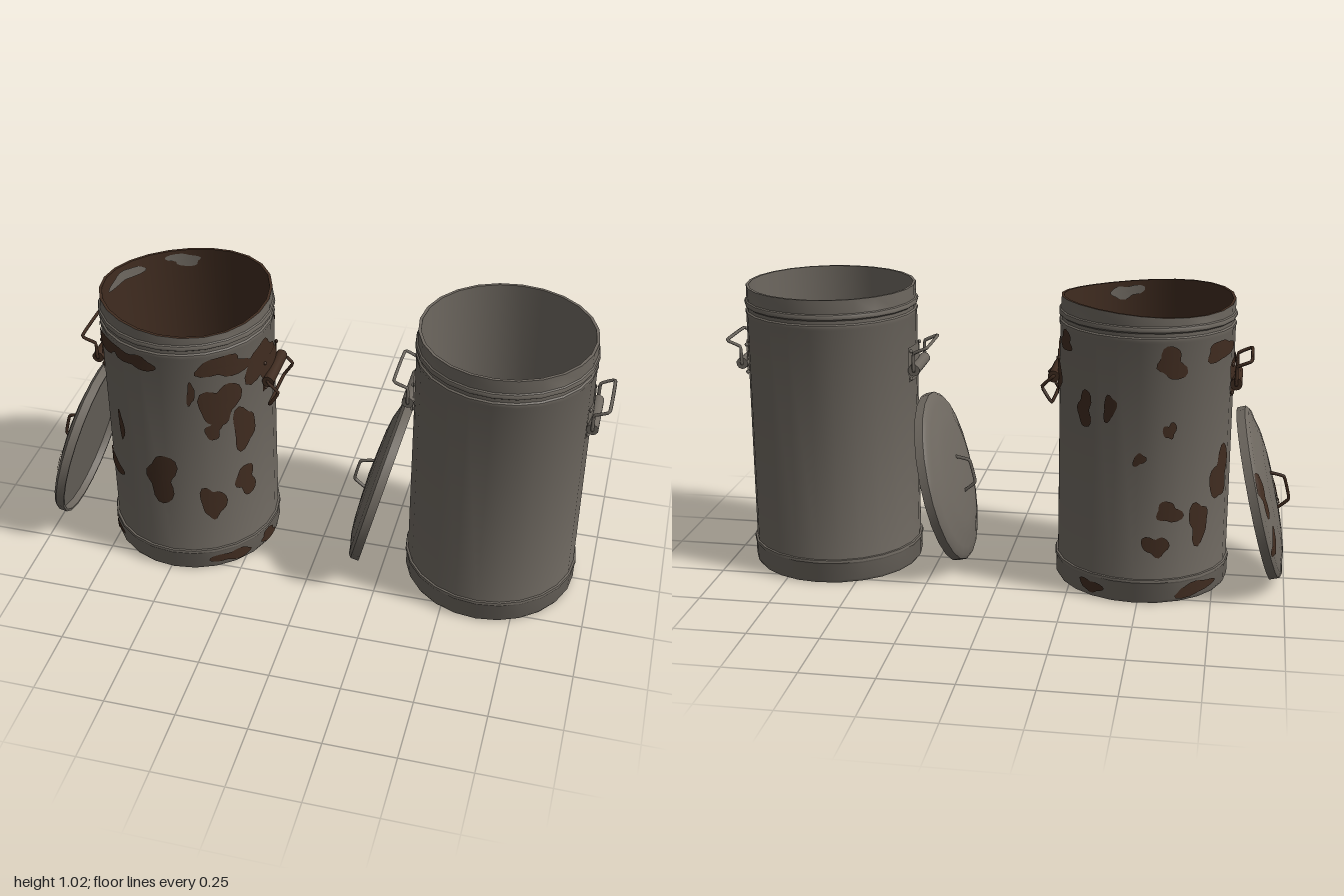
import * as THREE from 'three';
import { toCreasedNormals } from 'three/addons/utils/BufferGeometryUtils.js';

const SIDES = 24;

export function createModel() {
  const steel = new THREE.MeshStandardMaterial({ color: 0x6e6860, side: THREE.DoubleSide });
  steel.name = 'steel';
  const rust = new THREE.MeshStandardMaterial({ color: 0x402c20, side: THREE.DoubleSide });
  rust.name = 'rust';

  const add = (parent, name, geometry, material) => {
    const mesh = new THREE.Mesh(geometry, material);
    mesh.name = name;
    parent.add(mesh);
    return mesh;
  };
  const group = (parent, name) => {
    const g = new THREE.Group();
    g.name = name;
    parent.add(g);
    return g;
  };

  // Turned part with creased edges; warp may move its vertices
  const turned = (profile, warp) => {
    const geo = new THREE.LatheGeometry(profile.map(([r, y]) => new THREE.Vector2(r, y)), SIDES);
    if (warp) {
      const p = geo.attributes.position;
      const v = new THREE.Vector3();
      for (let i = 0; i < p.count; i++) {
        warp(v.fromBufferAttribute(p, i));
        p.setXYZ(i, v.x, v.y, v.z);
      }
    }
    return toCreasedNormals(geo, 0.6);
  };

  const wire = (points, radius) => {
    const curve = new THREE.CatmullRomCurve3(points.map((p) => new THREE.Vector3(...p)), false, 'catmullrom', 0.15);
    return new THREE.TubeGeometry(curve, 40, radius, 6);
  };

  // Irregular blob laid over a surface given by map(u, v)
  const blob = (map, u, v, hw, hh, seed) => {
    const rings = 5, n = 24, pos = [], index = [];
    for (let k = 0; k <= rings; k++) {
      for (let i = 0; i < n; i++) {
        const a = (i / n) * Math.PI * 2;
        const f = (k / rings) * (1 + 0.2 * Math.sin(2 * a + seed) + 0.17 * Math.sin(3 * a + seed * 2.3) + 0.08 * Math.sin(5 * a + seed));
        pos.push(...map(u + hw * f * Math.cos(a), v + hh * f * Math.sin(a)));
        if (k < rings) {
          const p = k * n + i, q = k * n + (i + 1) % n;
          if (k > 0) index.push(p, q + n, q);
          index.push(p, p + n, q + n);
        }
      }
    }
    const geo = new THREE.BufferGeometry();
    geo.setAttribute('position', new THREE.Float32BufferAttribute(pos, 3));
    geo.setIndex(index);
    geo.computeVertexNormals();
    return geo;
  };
  const onCylinder = (r) => (theta, y) => [r * Math.sin(theta), y, r * Math.cos(theta)];

  const outer = [
    [0, 0], [0.3, 0], [0.307, 0.012], [0.307, 0.07], [0.311, 0.077], [0.309, 0.086], [0.302, 0.087],
    [0.302, 0.918], [0.305, 0.925], [0.304, 0.934], [0.298, 0.938], [0.298, 0.95],
    [0.306, 0.956], [0.307, 0.964], [0.304, 0.971], [0.299, 0.974], [0.299, 1.022]];
  const inner = [[0.299, 1.022], [0.289, 1.022], [0.289, 0.03], [0, 0.03]];

  // Bent rim and slight waviness of the worn bin
  const bend = (v) => {
    const a = Math.atan2(v.x, v.z);
    if (v.y > 0.98) v.y -= 0.011 * (1 + Math.sin(2 * a + 0.3));
    const s = 1 + 0.006 * Math.sin(3 * a + 0.8) * THREE.MathUtils.smoothstep(v.y, 0.93, 1.02);
    v.x *= s;
    v.z *= s;
  };

  // Side handle on the +x wall: plate, hinge sleeve, bolts and wire loop
  const handle = (parent, name, mat, dropped) => {
    const g = group(parent, name);
    add(g, 'handlePlate', new THREE.CylinderGeometry(0.307, 0.307, 0.125, 8, 1, true, Math.PI / 2 - 0.29, 0.58), mat)
      .position.y = 0.753;
    const sleeve = add(g, 'hingeSleeve', new THREE.CylinderGeometry(0.021, 0.021, 0.18, 10), mat);
    sleeve.rotation.x = Math.PI / 2;
    sleeve.position.set(0.313, 0.735, 0);
    for (const y of [0.7, 0.8]) {
      for (const side of [-1, 1]) {
        const bolt = add(g, 'bolt', new THREE.SphereGeometry(0.007, 8, 6), mat);
        bolt.position.set(0.299, y, side * 0.072);
      }
    }
    const arm = dropped
      ? [[0.313, 0.738], [0.352, 0.7], [0.318, 0.645]]
      : [[0.313, 0.735], [0.314, 0.798], [0.362, 0.82]];
    const path = [[0.313, 0.735, -0.08], ...arm.map(([x, y]) => [x, y, -0.095]),
      ...arm.slice().reverse().map(([x, y]) => [x, y, 0.095]), [0.313, 0.735, 0.08]];
    add(g, 'wireLoop', wire(path, 0.006), mat);
    return g;
  };

  // Domed lid, dome along local +y, leaning against the bin
  const lidProfile = [
    [0, 0.025], [0.296, 0.025], [0.3, 0], [0.309, 0], [0.309, 0.03], [0.296, 0.041],
    [0.268, 0.046], [0.225, 0.058], [0.17, 0.065], [0.09, 0.069], [0, 0.072]].map(([r, y]) => [r, y]);
  const lid = (parent, handleMat) => {
    const g = group(parent, 'lid');
    g.position.set(-0.392, 0.315, 0);
    g.rotation.z = 1.325;
    add(g, 'lidShell', turned(lidProfile), steel);
    add(g, 'lidHandle', wire([[-0.068, 0.064, 0], [-0.042, 0.114, 0], [0.042, 0.114, 0], [0.068, 0.064, 0]], 0.006), handleMat);
    return g;
  };
  const onLid = (x, w) => {
    const r = Math.min(Math.hypot(x, w), 0.309);
    const k = r / (Math.hypot(x, w) || 1);
    let h = 0.072;
    for (let i = 5; i < lidProfile.length - 1; i++) {
      const [r0, h0] = lidProfile[i - 1], [r1, h1] = lidProfile[i];
      if (r <= r0 && r >= r1) h = h0 + (h1 - h0) * (r0 - r) / ((r0 - r1) || 1);
    }
    return [x * k, h + 0.004, -w * k];
  };

  const bin = (parent, name, x, worn) => {
    const g = group(parent, name);
    g.position.x = x;
    const mat = worn ? rust : steel;
    add(g, 'binShell', turned(outer, worn && bend), steel);
    add(g, 'binInterior', turned(inner, worn && bend), mat);
    handle(g, 'handleLeft', mat, worn);
    handle(g, 'handleRight', mat, false).rotation.y = Math.PI;
    return { g, lidGroup: lid(g, mat) };
  };

  const model = new THREE.Group();
  model.name = 'trashBins';
  bin(model, 'cleanBin', 0.63, false);
  const { g: worn, lidGroup } = bin(model, 'rustyBin', -0.49, true);

  // Rust on the wall: angle in degrees from the front, height, half width, half height
  const wallSpots = [
    [-50, 0.885, 0.11, 0.03], [-18, 0.885, 0.07, 0.03], [-36, 0.57, 0.016, 0.055], [-4, 0.41, 0.06, 0.09],
    [-56, 0.35, 0.085, 0.035], [30, 0.3, 0.04, 0.075], [55, 0.36, 0.045, 0.06], [19, 0.78, 0.015, 0.04],
    [38, 0.72, 0.065, 0.09], [42, 0.87, 0.09, 0.045], [55, 0.59, 0.055, 0.075], [33, 0.62, 0.03, 0.04],
    [75, 0.82, 0.08, 0.08], [92, 0.75, 0.11, 0.08], [142, 0.67, 0.035, 0.055], [181, 0.52, 0.02, 0.022],
    [193, 0.21, 0.04, 0.04], [200, 0.85, 0.05, 0.05], [161, 0.69, 0.025, 0.04], [200, 0.62, 0.02, 0.03],
    [201, 0.33, 0.04, 0.04], [223, 0.28, 0.045, 0.065], [243, 0.43, 0.055, 0.085], [240, 0.87, 0.07, 0.04],
    [270, 0.76, 0.08, 0.06], [120, 0.88, 0.05, 0.03]];
  wallSpots.forEach(([deg, y, hw, hh], i) =>
    add(worn, 'wallRust', blob(onCylinder(0.305), THREE.MathUtils.degToRad(deg), y, hw / 0.3, hh, i * 1.7), rust));

  // Rust on the foot band
  [[-65, 0.09], [42, 0.07], [75, 0.05], [222, 0.08], [150, 0.04]].forEach(([deg, hw], i) =>
    add(worn, 'footRust', blob(onCylinder(0.31), THREE.MathUtils.degToRad(deg), 0.04, hw / 0.3, 0.024, i * 2.1), rust));

  // Bare metal left inside near the rim
  [[200, 0.06], [250, 0.09], [20, 0.06], [100, 0.05]].forEach(([deg, hw], i) =>
    add(worn, 'bareMetal', blob(onCylinder(0.283), THREE.MathUtils.degToRad(deg), 0.965, hw / 0.3, 0.025, i * 1.3), steel));

  // Rust on the lid
  [[0, 0, 0.05, 0.03], [0.08, 0.265, 0.07, 0.03], [-0.1, 0.25, 0.05, 0.025], [-0.08, -0.08, 0.02, 0.03],
    [0.06, -0.27, 0.04, 0.02], [-0.24, -0.12, 0.02, 0.035]].forEach(([u, v, hw, hh], i) =>
    add(lidGroup, 'lidRust', blob(onLid, u, v, hw, hh, i * 1.9), rust));

  return model;
}
